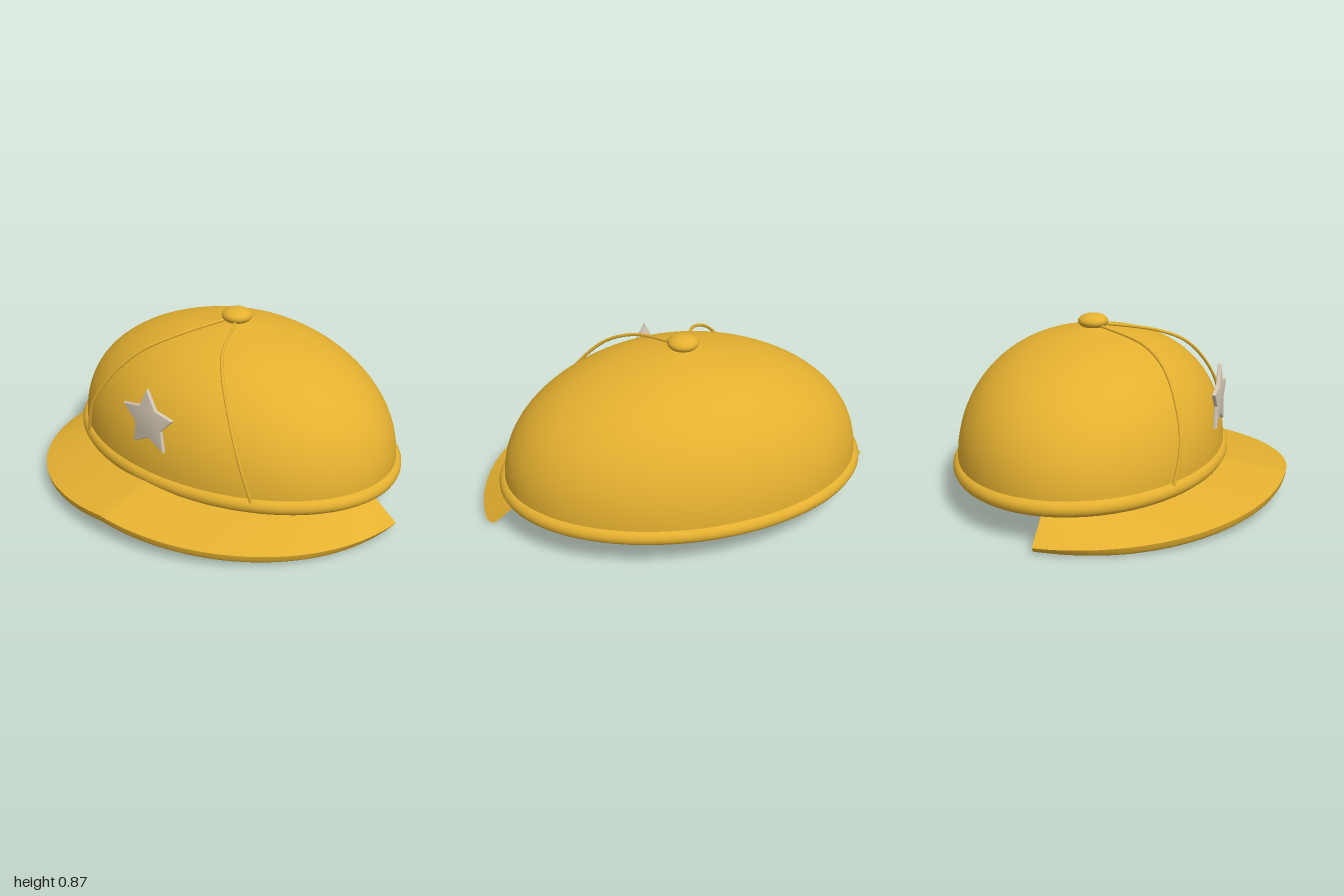
import * as THREE from 'three';
import { toCreasedNormals } from 'three/addons/utils/BufferGeometryUtils.js';

const CZ = -0.155; // centre of the crown along z

function makeMesh(name, geometry, material) {
  const mesh = new THREE.Mesh(geometry, material);
  mesh.name = name;
  return mesh;
}

// Open oval dome: a lathe made oval, fuller from front to back than from side to side
function crownGeometry() {
  const profile = [new THREE.Vector2(1, 0.17)];
  for (let i = 0; i <= 36; i++) {
    const a = Math.PI / 2 * i / 36;
    const r = i === 36 ? 0 : Math.cos(a);
    const peak = 0.015 * Math.exp(-((r / 0.12) ** 2)); // slight rise under the button
    profile.push(new THREE.Vector2(r, 0.2 + 0.6 * Math.sin(a) ** 0.92 + peak));
  }
  const g = new THREE.LatheGeometry(profile, 80);
  const p = g.attributes.position;
  for (let i = 0; i < p.count; i++) {
    const x = p.getX(i), z = p.getZ(i), r = Math.max(Math.hypot(x, z), 0.001);
    p.setX(i, 0.89 * x);
    p.setZ(i, CZ + 0.65 * z * r ** -0.12);
  }
  return toCreasedNormals(g, 1);
}

// Half-ring brim: a sloping slab swept from the left tip round the front to the right tip,
// wide enough at the front to reach well inside the crown
function brimGeometry() {
  const steps = 80, t = 0.048;
  // offsets along the slope from the inner (0) or outer (1) edge, and depth below the top
  const section = [[0, 0, 0], [1, 0, 0], [1, 0, 0.55 * t], [1, -0.005, 0.8 * t], [1, -0.014, t], [0, 0, t]];
  const n = section.length, pos = [], idx = [];
  for (let i = 0; i <= steps; i++) {
    const a = Math.PI * i / steps, c = Math.cos(a), s = Math.sin(a);
    const inner = new THREE.Vector3(0.86 * c, 0.216 - 0.076 * Math.abs(c), CZ + 0.41 * s);
    const outer = new THREE.Vector3(c, 0.125 - 0.087 * Math.abs(c), CZ + 0.98 * s);
    const d = outer.clone().sub(inner).normalize();
    const flat = Math.hypot(d.x, d.z);
    const down = new THREE.Vector3(d.x * d.y / flat, -flat, d.z * d.y / flat);
    for (const [edge, u, v] of section) {
      const p = (edge ? outer : inner).clone().addScaledVector(d, u).addScaledVector(down, v);
      pos.push(p.x, p.y, p.z);
    }
  }
  for (let i = 0; i < steps; i++) {
    for (let j = 0; j < n; j++) {
      const k = (j + 1) % n, p = i * n, q = p + n;
      idx.push(p + j, q + j, p + k, q + j, q + k, p + k);
    }
  }
  // flat cut ends
  const e = steps * n;
  for (let j = 1; j < n - 1; j++) idx.push(0, j, j + 1, e, e + j + 1, e + j);
  const g = new THREE.BufferGeometry();
  g.setAttribute('position', new THREE.Float32BufferAttribute(pos, 3));
  g.setIndex(idx);
  return toCreasedNormals(g, 0.85);
}

export function createModel() {
  const group = new THREE.Group();
  const gold = new THREE.MeshStandardMaterial({ color: 0xe4b030, side: THREE.DoubleSide });
  gold.name = 'golden cloth';
  const silver = new THREE.MeshStandardMaterial({ color: 0xd8ccb8 });
  silver.name = 'silver';

  group.add(makeMesh('crown', crownGeometry(), gold));
  group.add(makeMesh('brim', brimGeometry(), gold));

  // Rolled band round the rim
  const rim = [];
  for (let i = 0; i < 48; i++) {
    const a = Math.PI * 2 * i / 48;
    rim.push(new THREE.Vector3(0.88 * Math.cos(a), 0.182, CZ + 0.634 * Math.sin(a)));
  }
  const rimCurve = new THREE.CatmullRomCurve3(rim, true);
  group.add(makeMesh('band', new THREE.TubeGeometry(rimCurve, 128, 0.039, 14, true), gold));

  // Button on top
  const button = makeMesh('button', new THREE.SphereGeometry(1, 32, 20), gold);
  button.scale.set(0.076, 0.039, 0.076);
  button.position.set(0, 0.835, CZ);
  group.add(button);

  // Pair of cords from the button to the band
  const path = [[0.02, 0.82, -0.13], [0.05, 0.812, -0.07], [0.16, 0.768, 0.14], [0.275, 0.692, 0.265],
    [0.4, 0.545, 0.355], [0.49, 0.39, 0.395], [0.545, 0.21, 0.378]];
  for (const side of [1, -1]) {
    const curve = new THREE.CatmullRomCurve3(path.map(([x, y, z]) => new THREE.Vector3(side * x, y, z)));
    group.add(makeMesh(side > 0 ? 'leftCord' : 'rightCord', new THREE.TubeGeometry(curve, 60, 0.008, 8), gold));
  }

  // Five-pointed badge standing just off the front
  const star = new THREE.Shape();
  for (let i = 0; i < 10; i++) {
    const r = i % 2 ? 0.08 : 0.158, a = Math.PI / 2 + i * Math.PI / 5;
    star[i ? 'lineTo' : 'moveTo'](r * Math.cos(a), r * Math.sin(a));
  }
  star.closePath();
  const starGeo = new THREE.ExtrudeGeometry(star, {
    depth: 0.008, bevelEnabled: true, bevelThickness: 0.006, bevelSize: 0.007, bevelSegments: 3,
  });
  const badge = makeMesh('starBadge', toCreasedNormals(starGeo, 0.7), silver);
  badge.position.set(0, 0.488, 0.481);
  group.add(badge);

  return group;
}
